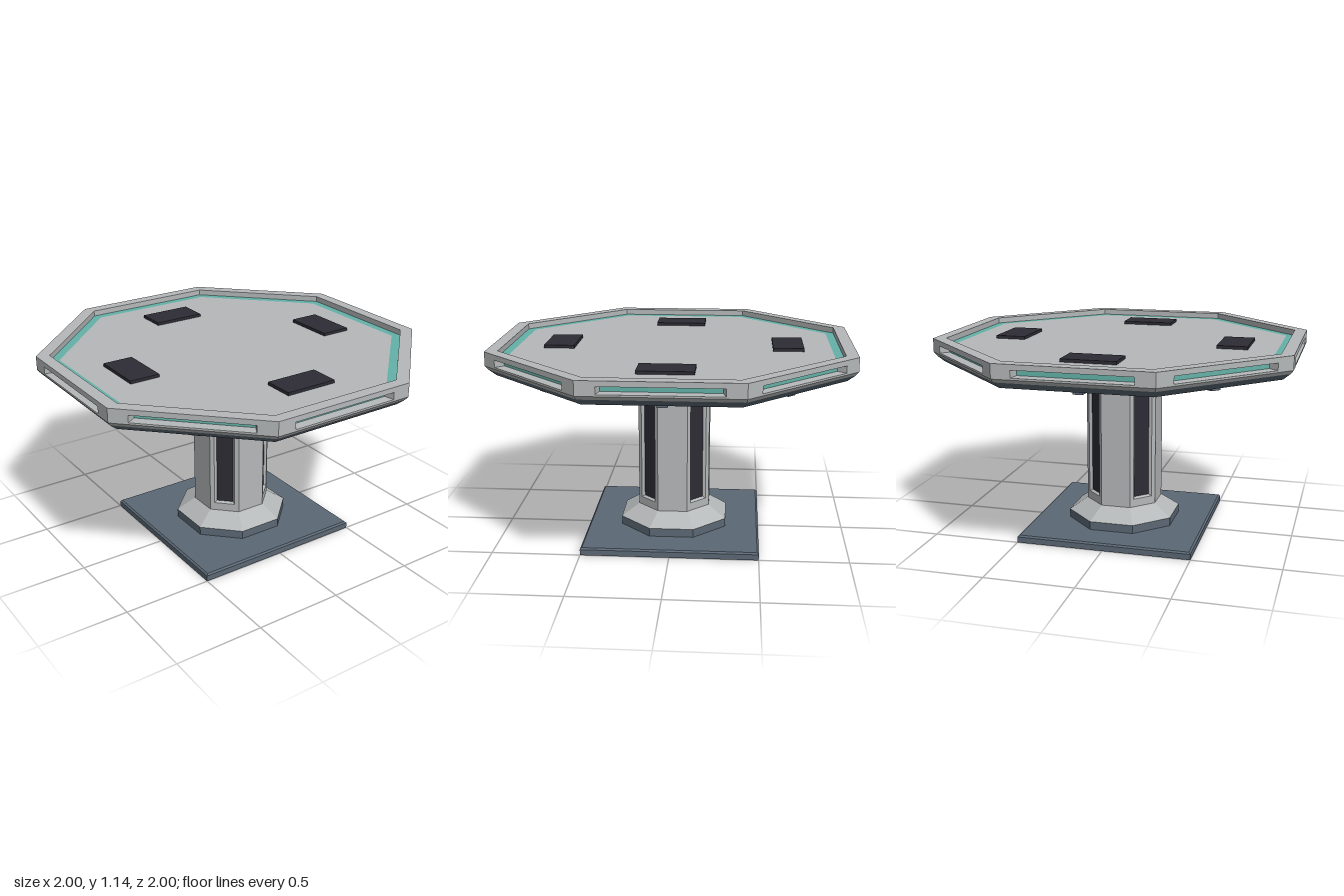
import * as THREE from 'three';

const T = Math.PI / 8;
const mat = (name, color) => Object.assign(new THREE.MeshStandardMaterial({ color }), { name });

export function createModel() {
  const grey = mat('pale grey', 0xb5b8b9);
  const blue = mat('slate blue', 0x5b6875);
  const teal = mat('teal', 0x64b2a8);
  const dark = mat('charcoal', 0x2d2c35);

  const model = new THREE.Group();
  model.name = 'octagonalTable';

  const add = (name, geometry, material, angle = 0, parent = model) => {
    const mesh = new THREE.Mesh(geometry, material);
    mesh.name = name;
    mesh.rotation.y = angle;
    parent.add(mesh);
    return mesh;
  };

  // Faceted ring: profile of [distance to flat side, height], from below, round the outside
  const ring = (points, sides = 8) => {
    const half = Math.PI / sides;
    const pts = points.map(([a, y]) => new THREE.Vector2(a / Math.cos(half), y));
    const g = new THREE.LatheGeometry(pts, sides, half, Math.PI * 2).toNonIndexed();
    g.computeVertexNormals();
    return g;
  };

  // Four-cornered faces, corners counter-clockwise
  const quads = (list) => {
    const pos = list.flatMap(([a, b, c, d]) => [a, b, c, a, c, d].flat());
    const g = new THREE.BufferGeometry();
    g.setAttribute('position', new THREE.Float32BufferAttribute(pos, 3));
    g.computeVertexNormals();
    return g;
  };
  const rect = (w, y0, y1, z) => [[-w, y0, z], [w, y0, z], [w, y1, z], [-w, y1, z]];
  const frame = (a, b) => a.map((p, i) => {
    const j = (i + 1) % 4;
    return [p, a[j], b[j], b[i]];
  });

  // One flat side of an octagon with a recessed inlay
  const recessedSide = (name, outer, opening, floor, inlay, angle) => {
    const side = new THREE.Group();
    side.name = name;
    side.rotation.y = angle;
    add(name + 'Frame', quads([...frame(outer, opening), ...frame(opening, floor)]), grey, 0, side);
    add(name + 'Inlay', quads([floor]), inlay, 0, side);
    model.add(side);
  };

  // Square floor plate with a small chamfer
  add('basePlate', ring([[0, 0], [0.5, 0], [0.5, 0.033], [0.49, 0.042], [0, 0.042]], 4), blue);

  // Foot and column ends
  add('footRing', ring([[0.305, 0.04], [0.305, 0.09]]), blue);
  add('footSlope', ring([[0.305, 0.09], [0.205, 0.16]]), grey);
  add('columnCapital', ring([[0.205, 0.935], [0.31, 1.006]]), grey);

  // Table top: dark underside, rim bevel, raised rim, light strip, sunken surface
  add('underside', ring([[0, 1.005], [0.945, 1.005], [0.985, 1.04]]), blue);
  add('rimBevel', ring([[0.985, 1.04], [1, 1.06]]), grey);
  add('rimTop', ring([[1, 1.138], [0.932, 1.138], [0.932, 1.106]]), grey);
  add('lightStrip', ring([[0.932, 1.106], [0.885, 1.106]]), teal);
  add('tableSurface', ring([[0.885, 1.106], [0, 1.106]]), grey);

  // Tapered support rib, side outline extruded across its width
  const outline = new THREE.Shape();
  outline.moveTo(0.18, 1.006);
  outline.lineTo(0.18, 0.945);
  outline.lineTo(0.905, 0.984);
  outline.lineTo(0.905, 1.006);
  const ribGeo = new THREE.ExtrudeGeometry(outline, { depth: 0.052, bevelEnabled: false });
  ribGeo.translate(0, 0, -0.026);

  for (let i = 0; i < 8; i++) {
    const angle = i * 2 * T;
    add('supportRib', ribGeo, blue, angle);

    // Rim sides with light slots
    recessedSide('rimSide', rect(Math.tan(T), 1.06, 1.138, 1), rect(0.312, 1.07, 1.109, 1),
      rect(0.298, 1.073, 1.102, 0.948), teal, angle);

    // Column sides: plain facing the axes, panelled on the diagonals
    const side = rect(0.205 * Math.tan(T), 0.16, 0.935, 0.205);
    if (i % 2) {
      recessedSide('columnSide', side, rect(0.06, 0.207, 0.878, 0.205),
        rect(0.048, 0.217, 0.868, 0.191), dark, angle);
    } else {
      add('columnSide', quads([side]), grey, angle);
    }
  }

  // Four dark pads on the surface
  const padGeo = new THREE.BoxGeometry(0.3, 0.018, 0.172);
  padGeo.translate(0, 1.114, 0.642);
  for (let i = 0; i < 4; i++) add('tablePad', padGeo, dark, i * Math.PI / 2);

  return model;
}
